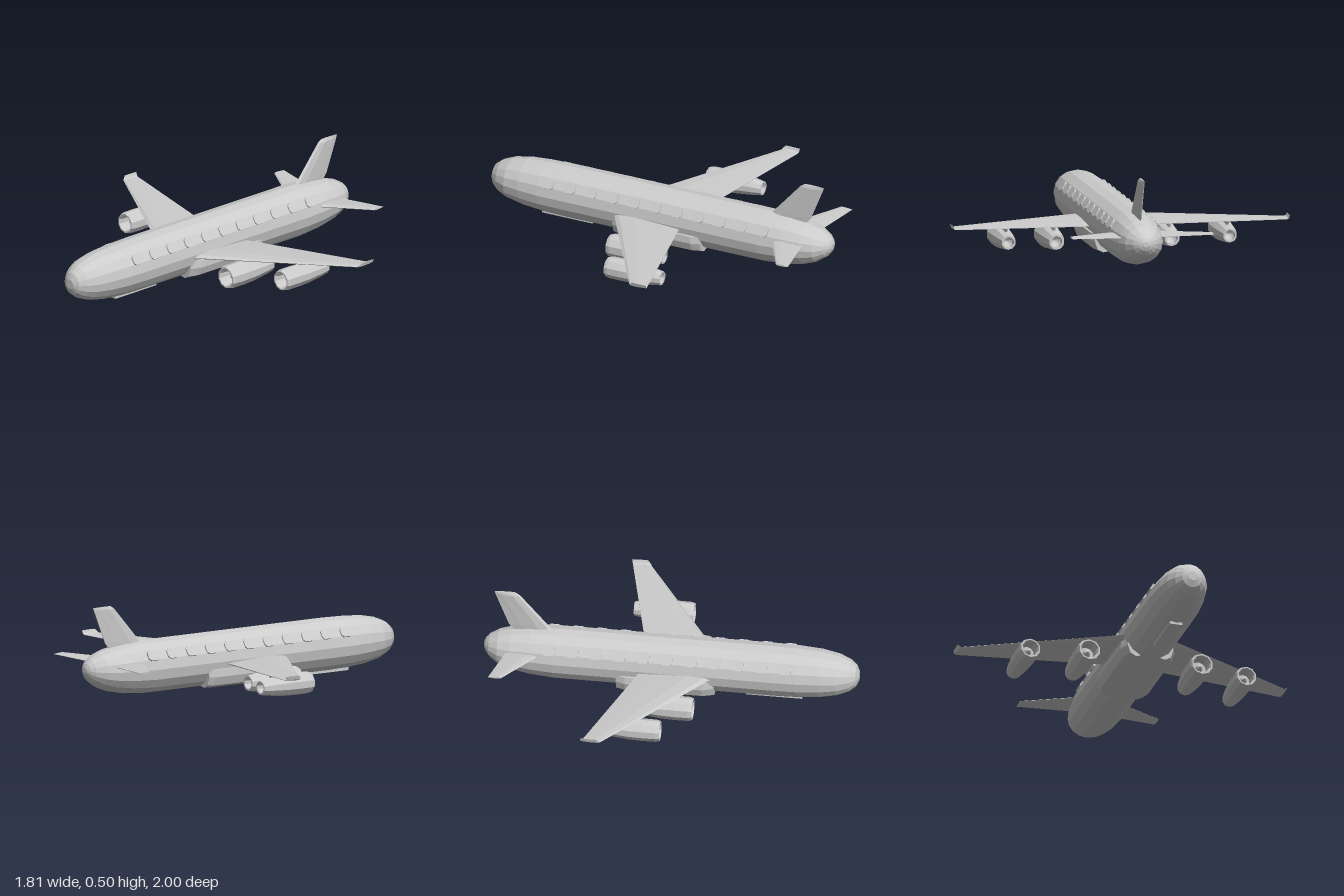
import * as THREE from 'three';

const grey = new THREE.MeshStandardMaterial({ color: 0xcccccc, flatShading: true });

// Closed solid through equal-sized rings of [x, y, z]; faces are turned outward by signed volume.
function loft(rings) {
  const n = rings[0].length, pos = rings.flat(2), idx = [];
  for (let r = 0; r < rings.length - 1; r++)
    for (let i = 0; i < n; i++) {
      const a = r * n + i, b = r * n + (i + 1) % n;
      idx.push(a, b, a + n, b, b + n, a + n);
    }
  [0, rings.length - 1].forEach((r, end) => {
    const c = pos.length / 3;
    for (let k = 0; k < 3; k++) pos.push(rings[r].reduce((s, p) => s + p[k], 0) / n);
    for (let i = 0; i < n; i++) {
      const a = r * n + i, b = r * n + (i + 1) % n;
      idx.push(...(end ? [c, a, b] : [c, b, a]));
    }
  });
  const v = (i) => new THREE.Vector3().fromArray(pos, idx[i] * 3);
  let volume = 0;
  for (let i = 0; i < idx.length; i += 3) volume += v(i).dot(v(i + 1).cross(v(i + 2)));
  if (volume < 0) idx.reverse();
  const g = new THREE.BufferGeometry();
  g.setAttribute('position', new THREE.Float32BufferAttribute(pos, 3));
  g.setIndex(idx);
  g.computeVertexNormals();
  return g;
}

function add(parent, name, geometry, x = 0, y = 0, z = 0) {
  const mesh = new THREE.Mesh(geometry, grey);
  mesh.name = name;
  mesh.position.set(x, y, z);
  parent.add(mesh);
  return mesh;
}

// Foil outline as [chord position, thickness offset]
const foil = [[0, 0], [0.07, 0.35], [0.3, 0.5], [0.7, 0.32], [1, 0.08], [1, -0.08], [0.7, -0.32], [0.3, -0.5], [0.07, -0.35]];

// Horizontal surface from stations [x, y, leading z, trailing z, thickness]
const wingGeometry = (stations, side) => loft(stations.map(([x, y, lead, trail, t]) =>
  foil.map(([c, h]) => [side * x, y + h * t, lead + (trail - lead) * c])));

// Hollow engine, listed from the nozzle forward to the hub
const engineProfile = [
  [0, -0.1], [0.018, -0.11], [0.03, -0.12], [0.031, -0.16], [0.041, -0.16], [0.05, -0.11], [0.062, -0.01],
  [0.065, 0.07], [0.064, 0.14], [0.058, 0.16], [0.05, 0.16], [0.043, 0.145], [0.04, 0.09],
  [0.02, 0.09], [0.016, 0.115], [0, 0.13],
].map(([r, y]) => new THREE.Vector2(r, y));

export function createModel() {
  const plane = new THREE.Group();
  plane.name = 'airliner';

  // Fuselage: [z, centre y, half width, half height]
  const sections = [
    [1, 0.163, 0.025, 0.026], [0.985, 0.163, 0.055, 0.06], [0.95, 0.163, 0.084, 0.088], [0.89, 0.163, 0.112, 0.112],
    [0.8, 0.163, 0.128, 0.13], [0.68, 0.162, 0.138, 0.139], [0.55, 0.162, 0.14, 0.142],
    [-0.62, 0.162, 0.14, 0.142], [-0.75, 0.164, 0.133, 0.133], [-0.85, 0.166, 0.12, 0.115],
    [-0.92, 0.169, 0.1, 0.092], [-0.97, 0.173, 0.065, 0.06], [-0.99, 0.176, 0.04, 0.037], [-1, 0.177, 0.016, 0.015],
  ];
  add(plane, 'fuselage', loft(sections.map(([z, y, w, h]) =>
    Array.from({ length: 16 }, (_, i) => {
      const a = i * Math.PI / 8;
      return [w * Math.cos(a), y + h * Math.sin(a), z];
    }))));

  // Nose gear door
  add(plane, 'noseGearDoor', new THREE.BoxGeometry(0.07, 0.015, 0.3), 0, 0.021, 0.55);

  // Tail fin: [y, leading z, trailing z, thickness]
  const fin = [[0.27, -0.615, -0.835, 0.03], [0.31, -0.65, -0.868, 0.03], [0.49, -0.808, -0.94, 0.026], [0.505, -0.83, -0.945, 0.014]];
  add(plane, 'tailFin', loft(fin.map(([y, lead, trail, t]) =>
    foil.map(([c, h]) => [h * t, y, lead + (trail - lead) * c]))));

  // Shared window panel
  const w = 0.033, h = 0.028, k = 0.012;
  const outline = new THREE.Shape([[-w, -h + k], [-w + k, -h], [w - k, -h], [w, -h + k], [w, h - k], [w - k, h], [k - w, h], [-w, h - k]]
    .map(([x, y]) => new THREE.Vector2(x, y)));
  const windowGeometry = new THREE.ExtrudeGeometry(outline, { depth: 0.02, bevelEnabled: false });

  const engineGeometry = new THREE.LatheGeometry(engineProfile, 10);
  engineGeometry.rotateX(Math.PI / 2);

  for (const side of [1, -1]) {
    const label = side > 0 ? 'left' : 'right';

    // Main wing with a small upturned tip
    add(plane, label + 'Wing', wingGeometry([
      [0.05, 0.143, 0.275, -0.138, 0.034], [0.14, 0.147, 0.22, -0.16, 0.032],
      [0.89, 0.18, -0.244, -0.345, 0.012], [0.9, 0.185, -0.25, -0.348, 0.01], [0.906, 0.202, -0.265, -0.35, 0.004],
    ], side));

    // Tailplane
    add(plane, label + 'Tailplane', wingGeometry([
      [0.05, 0.192, -0.655, -0.858, 0.022], [0.38, 0.206, -0.852, -0.922, 0.01],
    ], side));

    // Wing root fairing under the belly: [z, scale outward]
    add(plane, label + 'RootFairing', loft([[0.24, 0.85], [0.18, 1], [-0.23, 1], [-0.28, 0.88]].map(([z, s]) =>
      [[0.05, 0.03], [0.095 * s, 0.024], [0.13 * s, 0.04], [0.147 * s, 0.085], [0.145 * s, 0.125], [0.05, 0.13]]
        .map(([x, y]) => [side * x, y, z]))));

    // Engines and pylons: [name, x, y, z, size, wing height above]
    for (const [name, x, y, z, size, top] of [
      ['Inner', 0.31, 0.067, 0, 1, 0.152], ['Outer', 0.595, 0.094, -0.13, 0.92, 0.167],
    ]) {
      add(plane, label + name + 'Engine', engineGeometry, side * x, y, z).scale.set(size, size, 1);
      add(plane, label + name + 'Pylon', loft([[y + 0.045, 0.07, -0.09], [top, 0.03, -0.11]].map(([py, front, back]) =>
        [[0, front], [0.008, front - 0.03], [0.006, back], [-0.006, back], [-0.008, front - 0.03]]
          .map(([px, pz]) => [side * x + px, py, z + pz]))));
    }

    // Row of raised windows lying on the upper flank
    const row = new THREE.Group();
    row.name = label + 'Windows';
    const tilt = 0.56;
    for (let i = 0; i < 11; i++) {
      const pane = add(row, 'window', windowGeometry,
        side * 0.125 * Math.cos(tilt), 0.163 + 0.125 * Math.sin(tilt), 0.62 - i * 0.126);
      pane.rotation.set(-tilt, side * Math.PI / 2, 0, 'YXZ');
    }
    plane.add(row);
  }
  return plane;
}
